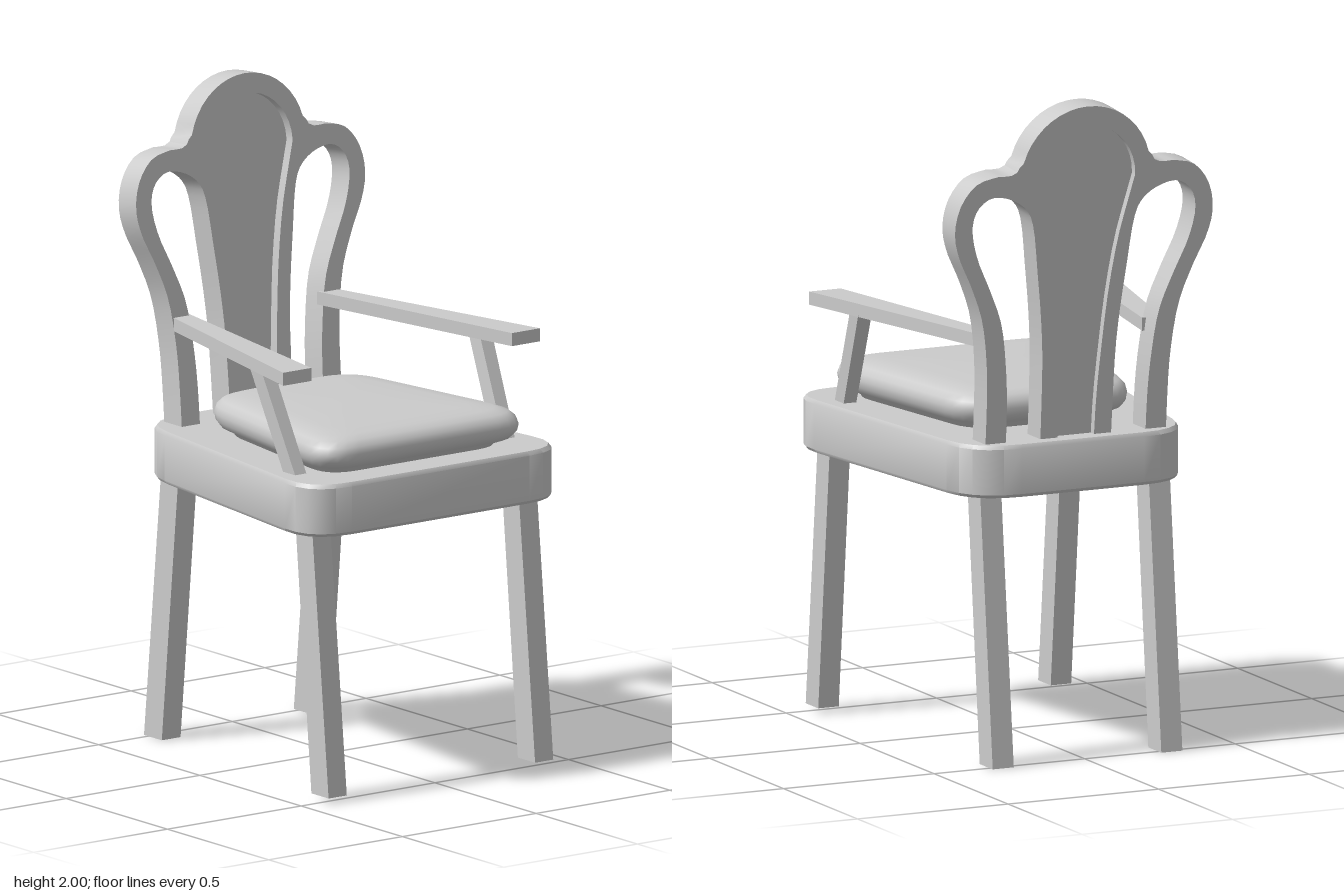
import * as THREE from 'three';
import { toCreasedNormals } from 'three/addons/utils/BufferGeometryUtils.js';

const material = new THREE.MeshStandardMaterial({ color: 0xcccccc });

function addPart(group, name, geometry, crease = 0.6) {
  const mesh = new THREE.Mesh(toCreasedNormals(geometry, crease), material);
  mesh.name = name;
  group.add(mesh);
}

// Skin between stacked rings of [x, y, z], bottom to top, with closed ends.
// Rings run counter-clockwise seen from above; side = -1 mirrors in x.
function loft(rings, side = 1) {
  const n = rings[0].length, pos = [], index = [];
  for (const ring of rings) {
    const points = side > 0 ? ring : ring.map(([x, y, z]) => [-x, y, z]).reverse();
    points.forEach(p => pos.push(...p));
  }
  for (let r = 0; r < rings.length - 1; r++) {
    for (let i = 0; i < n; i++) {
      const a = r * n + i, b = r * n + (i + 1) % n;
      index.push(a, b, b + n, a, b + n, a + n);
    }
  }
  const top = (rings.length - 1) * n;
  for (let i = 1; i < n - 1; i++) {
    index.push(0, i + 1, i);
    index.push(top, top + i, top + i + 1);
  }
  const geometry = new THREE.BufferGeometry();
  geometry.setAttribute('position', new THREE.Float32BufferAttribute(pos, 3));
  geometry.setIndex(index);
  return geometry;
}

// Rectangular ring at height y
const rect = (x0, x1, y, z0, z1) => [[x0, y, z1], [x1, y, z1], [x1, y, z0], [x0, y, z0]];

// Trapezoid outline in x and z with rounded corners
function roundedTrapezoid(wFront, wBack, zFront, zBack, radius, steps) {
  const corners = [[-wFront, zFront], [wFront, zFront], [wBack, zBack], [-wBack, zBack]]
    .map(c => new THREE.Vector2(...c));
  const points = [];
  corners.forEach((c, i) => {
    const toward = o => c.clone().add(o.clone().sub(c).setLength(radius));
    const curve = new THREE.QuadraticBezierCurve(
      toward(corners[(i + 3) % 4]), c, toward(corners[(i + 1) % 4]));
    points.push(...curve.getPoints(steps));
  });
  return points;
}

// Stack an outline by a profile of [scale, y], scaling about (0, zMid)
const stack = (outline, profile, zMid) => loft(profile.map(([s, y]) =>
  outline.map(p => [p.x * s, y, zMid + (p.y - zMid) * s])));

const vectors = list => list.map(p => new THREE.Vector2(...p));
const spline = (list, n) => new THREE.SplineCurve(vectors(list)).getPoints(n);
const mirror = points => points.map(p => new THREE.Vector2(-p.x, p.y));
const reversed = points => [...points].reverse();

// Arc from a start angle up to the centre line
function arcToTop(cy, radius, start, steps) {
  return Array.from({ length: steps + 1 }, (_, i) => {
    const a = start + (Math.PI / 2 - start) * i / steps;
    return new THREE.Vector2(radius * Math.cos(a), cy + radius * Math.sin(a));
  });
}

// Extrude a backrest outline and lean it backward
function backPiece(outline, z0, z1) {
  const lean = 0.083;
  const geometry = new THREE.ExtrudeGeometry(new THREE.Shape(outline),
    { depth: z1 - z0, bevelEnabled: false });
  const pos = geometry.attributes.position;
  for (let i = 0; i < pos.count; i++) {
    const y = pos.getY(i), z = pos.getZ(i) + z0;
    pos.setY(i, y + lean * (z - 0.086));
    pos.setZ(i, z - 0.44 - lean * (y - 0.98));
  }
  return geometry;
}

export function createModel() {
  const chair = new THREE.Group();
  chair.name = 'armchair';

  // Seat with softened edges
  const seatOutline = roundedTrapezoid(0.487, 0.358, 0.53, -0.49, 0.155, 5);
  addPart(chair, 'seat', stack(seatOutline,
    [[0.985, 0.815], [1, 0.825], [1, 0.963], [0.985, 0.975]], 0.02));

  // Cushion
  const cushionOutline = roundedTrapezoid(0.394, 0.28, 0.475, -0.285, 0.13, 6);
  addPart(chair, 'cushion', stack(cushionOutline, [
    [0.84, 0.97], [0.86, 0.985], [0.95, 1.0], [0.99, 1.02], [1, 1.042], [0.985, 1.063],
    [0.94, 1.08], [0.86, 1.09], [0.7, 1.095], [0.4, 1.098], [0.01, 1.1],
  ], 0.07), 1.2);

  for (const side of [1, -1]) {
    const label = side > 0 ? 'left' : 'right';

    // Splayed legs
    addPart(chair, label + 'FrontLeg', loft([
      rect(0.352, 0.42, 0.02, 0.445, 0.53), rect(0.352, 0.42, 0.85, 0.365, 0.447)], side));
    addPart(chair, label + 'BackLeg', loft([
      rect(0.245, 0.315, 0.003, -0.52, -0.432), rect(0.245, 0.315, 0.85, -0.433, -0.348)], side));

    // Armrest widening to the front
    const arm = y => [[0.375, y, 0.385], [0.48, y, 0.385], [0.305, y, -0.4], [0.24, y, -0.4]];
    addPart(chair, label + 'Armrest', loft([arm(1.265), arm(1.305)], side));

    // Slanted arm support
    addPart(chair, label + 'ArmSupport', loft([
      rect(0.368, 0.41, 0.965, 0.297, 0.357), rect(0.385, 0.43, 1.27, 0.155, 0.212)], side));
  }

  // Half outlines of the backrest: outer edge, loop opening and centre panel
  const outer = [
    ...spline([[0.3, 0.92], [0.3, 1.09], [0.305, 1.22], [0.325, 1.36], [0.365, 1.47],
      [0.412, 1.57], [0.428, 1.65], [0.41, 1.73], [0.36, 1.79], [0.29, 1.808]], 26),
    ...spline([[0.27, 1.807], [0.235, 1.81], [0.22, 1.83]], 3),
    ...arcToTop(1.785, 0.215, 0.27, 9),
  ];
  const opening = spline([[0.232, 0.92], [0.233, 1.09], [0.242, 1.22], [0.262, 1.35],
    [0.305, 1.46], [0.35, 1.56], [0.37, 1.65], [0.355, 1.71], [0.31, 1.743], [0.25, 1.735],
    [0.195, 1.7], [0.167, 1.64], [0.148, 1.5], [0.13, 1.35], [0.12, 1.2], [0.117, 0.92]], 44);
  const panel = [
    ...spline([[0.06, 0.92], [0.063, 1.09], [0.074, 1.25], [0.09, 1.42], [0.115, 1.58],
      [0.145, 1.7]], 12),
    ...arcToTop(1.775, 0.165, 0, 9),
  ];

  const frameOutline = [
    ...outer, ...reversed(mirror(outer)).slice(1),
    ...mirror(opening), ...mirror(panel),
    ...reversed(panel).slice(1), ...reversed(opening),
  ];
  addPart(chair, 'backFrame', backPiece(frameOutline, 0, 0.086));

  // Panel recessed on both faces
  addPart(chair, 'backPanel',
    backPiece([...panel, ...reversed(mirror(panel)).slice(1)], 0.022, 0.056));

  return chair;
}
